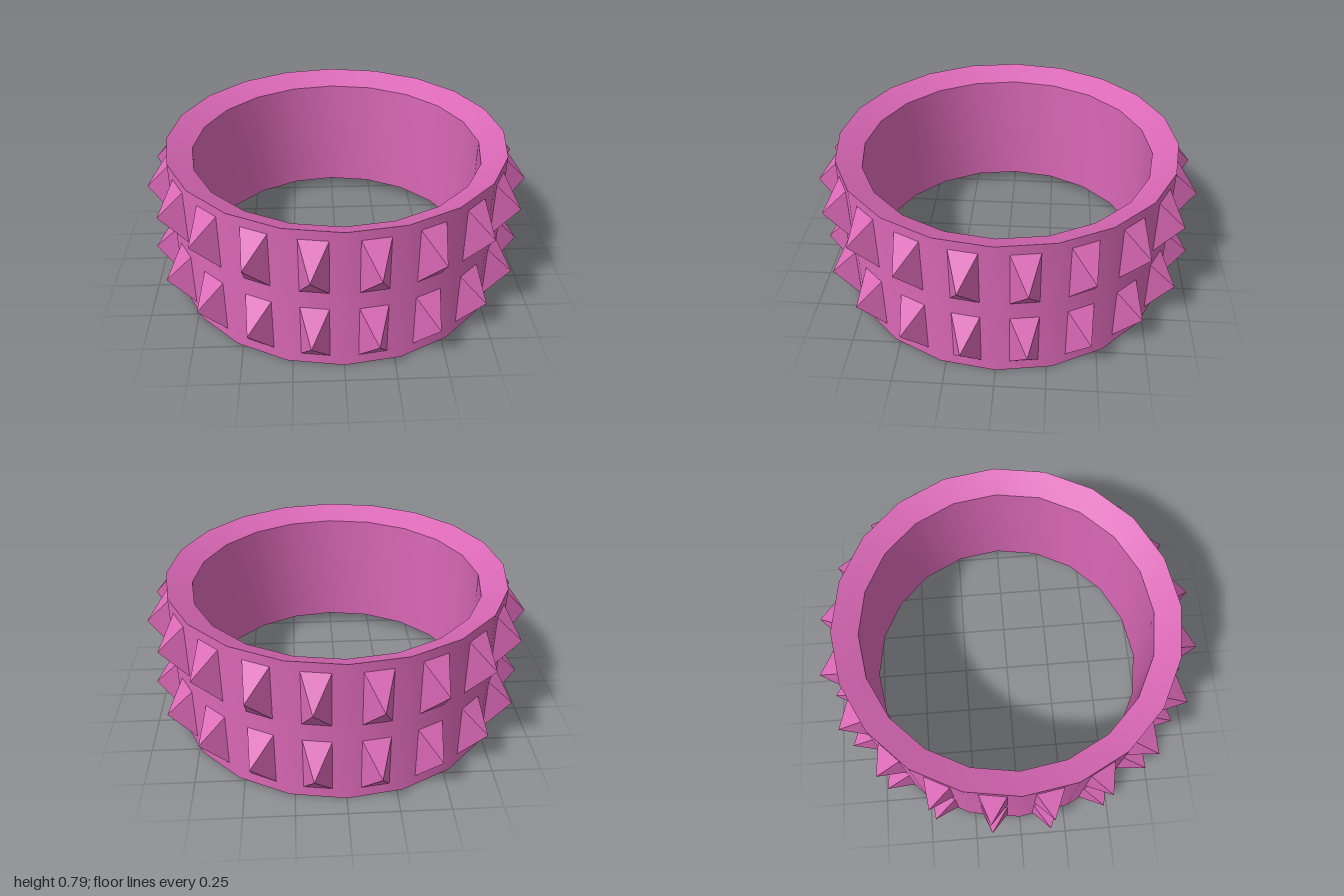
import * as THREE from 'three';
import { toCreasedNormals } from 'three/addons/utils/BufferGeometryUtils.js';

const SIDES = 20;
const OUTER = 0.9, INNER = 0.77, HEIGHT = 0.79, BEVEL = 0.06;

export function createModel() {
  const model = new THREE.Group();
  model.name = 'studdedBand';

  const pink = new THREE.MeshStandardMaterial({ color: 0xda68b6 });
  pink.name = 'pink';

  // Band: closed profile whose rims slope down toward the inside
  const profile = [
    [OUTER, 0], [OUTER, HEIGHT], [INNER, HEIGHT - BEVEL], [INNER, BEVEL], [OUTER, 0],
  ].map(([r, y]) => new THREE.Vector2(r, y));
  const band = new THREE.Mesh(
    toCreasedNormals(new THREE.LatheGeometry(profile, SIDES), Math.PI / 6), pink);
  band.name = 'band';
  model.add(band);

  // Stud: four-sided pyramid pointing along +z, base resting on a band facet
  const apothem = OUTER * Math.cos(Math.PI / SIDES);
  const depth = 1.012 - apothem;
  const stud = new THREE.ConeGeometry(Math.SQRT1_2, depth, 4, 1, true)
    .rotateY(Math.PI / 4)
    .rotateX(Math.PI / 2)
    .scale(0.14, 0.293, 1)
    .translate(0, 0, apothem + depth / 2)
    .toNonIndexed();
  stud.computeVertexNormals();

  // Two rows, one stud in the middle of every facet
  [['lowerStuds', 0.203], ['upperStuds', 0.592]].forEach(([name, y]) => {
    const row = new THREE.Group();
    row.name = name;
    for (let i = 0; i < SIDES; i++) {
      const mesh = new THREE.Mesh(stud, pink);
      mesh.name = 'stud';
      mesh.position.y = y;
      mesh.rotation.y = ((i + 0.5) / SIDES) * Math.PI * 2;
      row.add(mesh);
    }
    model.add(row);
  });

  return model;
}
